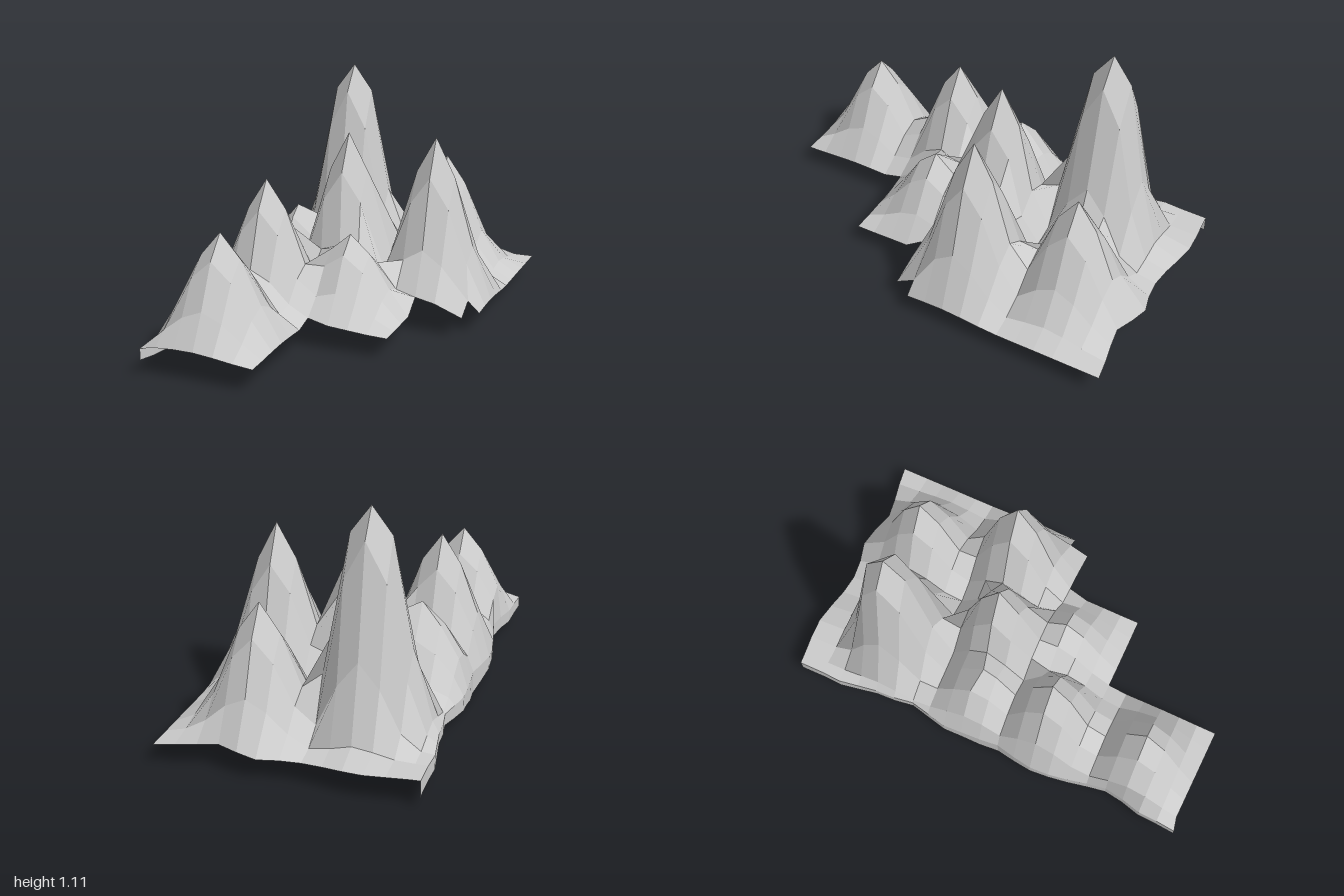
import * as THREE from 'three';

const STEP = 0.0925, ROWS = 22, COLS = 14;

// Peaks: x, z, height added to the ground, radius, falloff power
const PEAKS = [
  [-0.247, -0.58, 1.01, 0.188, 2.85],
  [-0.09, -0.118, 0.755, 0.181, 2],
  [0.307, -0.21, 0.755, 0.181, 2],
  [-0.34, 0.255, 0.595, 0.181, 2],
  [-0.34, 0.715, 0.457, 0.181, 2],
  [0.03, 0.163, 0.35, 0.181, 2],
  [0.215, -0.672, 0.56, 0.181, 2],
  [-0.34, -0.09, 0.4, 0.181, 2],
];

// Wavering left edge x, and the lower rim of its skirt, from back to front
const LEFT_X = [-0.575, -0.575, -0.58, -0.565, -0.55, -0.545, -0.53, -0.55, -0.57, -0.565, -0.56,
  -0.55, -0.57, -0.585, -0.58, -0.565, -0.545, -0.53, -0.545, -0.57, -0.575, -0.585];
const RIM_Y = [0.05, 0.055, 0.06, 0.065, 0.075, 0.07, 0.065, 0.055, 0.05, 0.035, 0.01,
  0, 0.025, 0.045, 0.055, 0.05, 0.045, 0.05, 0.055, 0.055, 0.06, 0.07];

// Wavering back edge z, from left to right
const BACK_Z = [-0.98, -0.985, -0.995, -1, -0.985, -0.965, -0.955, -0.965, -0.99, -0.97, -0.94, -0.955, -0.975, -0.99];

const ground = (x, z) => 0.107 - 0.02 * x + 0.008 * Math.sin(7 * x + 3 * z + 1.5);

// The highest peak at each point shapes the land, leaving sharp valleys
function height(x, z) {
  return ground(x, z) + Math.max(...PEAKS.map(([px, pz, h, r, p]) =>
    h * Math.exp(-Math.pow(Math.hypot(x - px, z - pz) / r, p))));
}

// Last column of the stepped outline for the cells behind row r
const lastColumn = (r) => (r <= 10 ? 13 : r === 11 ? 12 : r <= 15 ? 10 : 6);

function gridPoint(r, c) {
  let x = -0.525 + (c - 1) * STEP, z = -0.95 + r * STEP;
  if (c === 0) return new THREE.Vector3(LEFT_X[r], ground(LEFT_X[r], z), r === 0 ? BACK_Z[0] : z);
  if (c === 1) x = -0.52;
  if (c === 12 && (r === 10 || r === 11)) x = 0.53;
  // The grid bends sideways around the central peak
  if (r >= 8 && r <= 10 && c >= 5 && c <= 7) x -= 0.027;
  if (r === 0) z = BACK_Z[c];
  if (r === ROWS - 1) z = 0.975 + 0.02 * c / 6;
  // A vertex near a summit sits exactly on it
  const peak = PEAKS.find(([px, pz]) => Math.abs(px - x) < 0.045 && Math.abs(pz - z) < 0.045);
  if (peak) [x, z] = peak;
  // Outer edges settle towards the ground
  const edge = r === 0 || r === ROWS - 1 || c === lastColumn(r) || (r === 15 && c > 6);
  const g = ground(x, z), rise = height(x, z) - g;
  return new THREE.Vector3(x, g + rise * (edge ? 0.25 : 1), z);
}

// Four-sided facets, each with one flat normal; corners run counter-clockwise
function facetMesh(name, quads) {
  const position = [], normal = [], index = [];
  quads.forEach(([a, b, c, d], i) => {
    const n = c.clone().sub(a).cross(d.clone().sub(b)).normalize();
    for (const v of [a, b, c, d]) {
      position.push(v.x, v.y, v.z);
      normal.push(n.x, n.y, n.z);
    }
    const k = i * 4;
    // Split along the diagonal whose middle is higher
    if (a.y + c.y > b.y + d.y) index.push(k, k + 1, k + 2, k, k + 2, k + 3);
    else index.push(k, k + 1, k + 3, k + 1, k + 2, k + 3);
  });
  const g = new THREE.BufferGeometry();
  g.setAttribute('position', new THREE.Float32BufferAttribute(position, 3));
  g.setAttribute('normal', new THREE.Float32BufferAttribute(normal, 3));
  g.setIndex(index);
  const mesh = new THREE.Mesh(g, new THREE.MeshStandardMaterial({ color: 0xcccccc, side: THREE.DoubleSide }));
  mesh.name = name;
  return mesh;
}

export function createModel() {
  const group = new THREE.Group();
  group.name = 'mountainRange';

  // Mountain terrain on a stepped grid
  const land = [];
  for (let r = 1; r < ROWS; r++)
    for (let c = 1; c <= lastColumn(r); c++)
      land.push([gridPoint(r - 1, c - 1), gridPoint(r, c - 1), gridPoint(r, c), gridPoint(r - 1, c)]);
  group.add(facetMesh('mountainTerrain', land));

  // Short skirt hanging from the left edge
  const rim = (r) => gridPoint(r, 0).setY(RIM_Y[r]);
  const skirt = [];
  for (let r = 1; r < ROWS; r++)
    skirt.push([gridPoint(r - 1, 0), rim(r - 1), rim(r), gridPoint(r, 0)]);
  group.add(facetMesh('edgeSkirt', skirt));
  return group;
}
